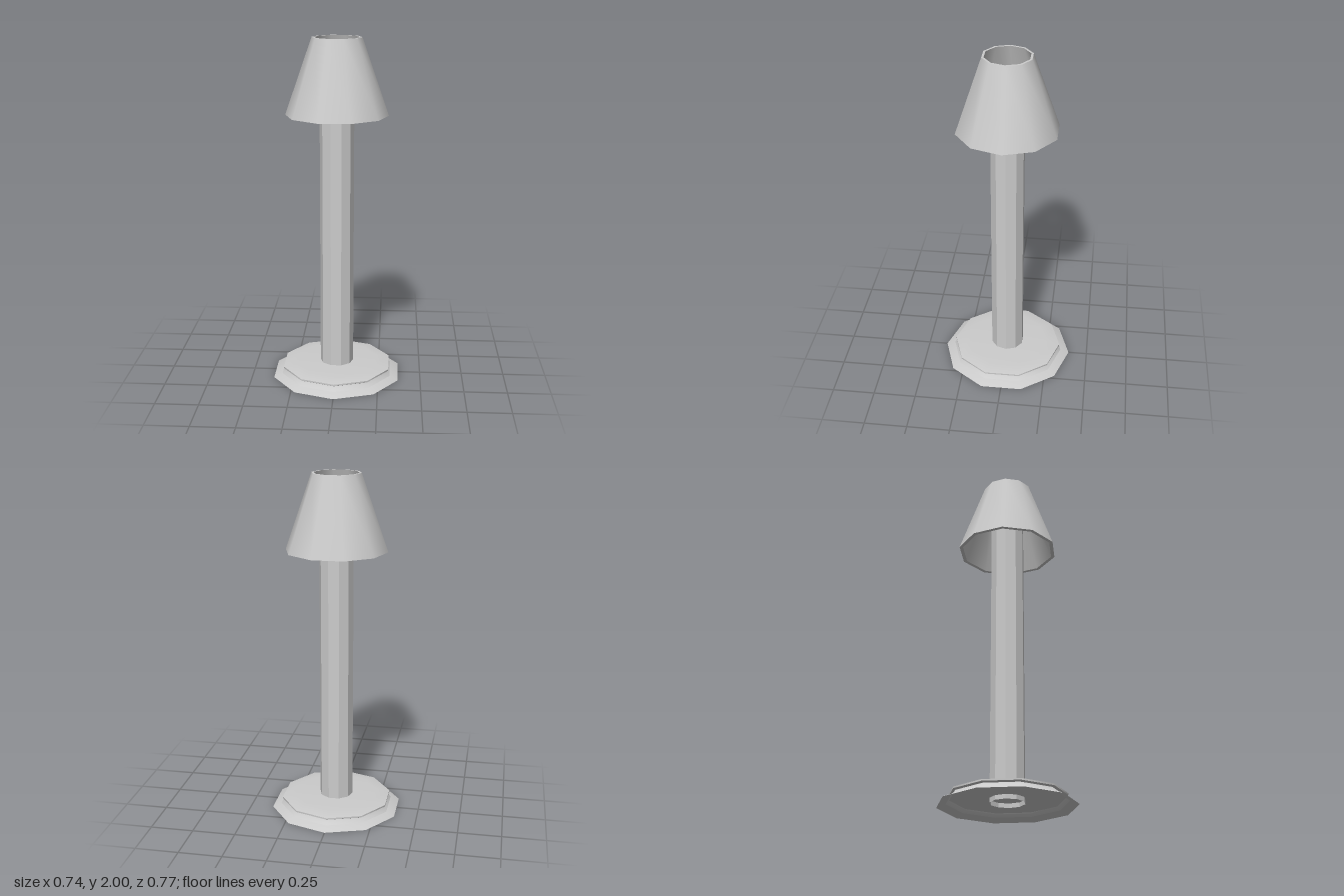
import * as THREE from 'three';

const SIDES = 10;

// Ten-sided turned surface; each strip is its own lathe so edges between strips stay sharp
function turned(name, strips, phi, flatShading = false) {
  const group = new THREE.Group();
  group.name = name;
  const material = new THREE.MeshStandardMaterial({
    color: 0xcccccc, flatShading, side: THREE.DoubleSide,
  });
  strips.forEach((strip, i) => {
    const points = strip.map(([r, y]) => new THREE.Vector2(r, y));
    const mesh = new THREE.Mesh(new THREE.LatheGeometry(points, SIDES, phi), material);
    mesh.name = `${name}Surface${i + 1}`;
    group.add(mesh);
  });
  return group;
}

export function createModel() {
  const model = new THREE.Group();
  model.name = 'tableLamp';

  // Base: flared foot, grooved neck, rim and slightly domed top, with a recessed underside
  model.add(turned('base', [
    [[0.387, 0], [0.36, 0.012], [0.336, 0.02]],
    [[0.336, 0.02], [0.322, 0.033], [0.314, 0.045]],
    [[0.314, 0.045], [0.327, 0.052]],
    [[0.327, 0.052], [0.327, 0.061]],
    [[0.327, 0.061], [0.245, 0.075], [0, 0.075]],
    [[0, 0.04], [0.317, 0.04]],
  ], 0));

  // Pole: faceted tube, open below and capped on top
  model.add(turned('pole', [
    [[0.098, 0.015], [0.098, 1.75]],
    [[0.098, 1.75], [0, 1.75]],
  ], Math.PI / 2, true));

  // Shade: hollow cone with thick walls and flat rims
  model.add(turned('shade', [
    [[0.293, 1.565], [0.141, 2]],
    [[0.141, 2], [0.128, 2]],
    [[0.128, 2], [0.272, 1.565]],
    [[0.272, 1.565], [0.293, 1.565]],
  ], Math.PI / 2));

  return model;
}
